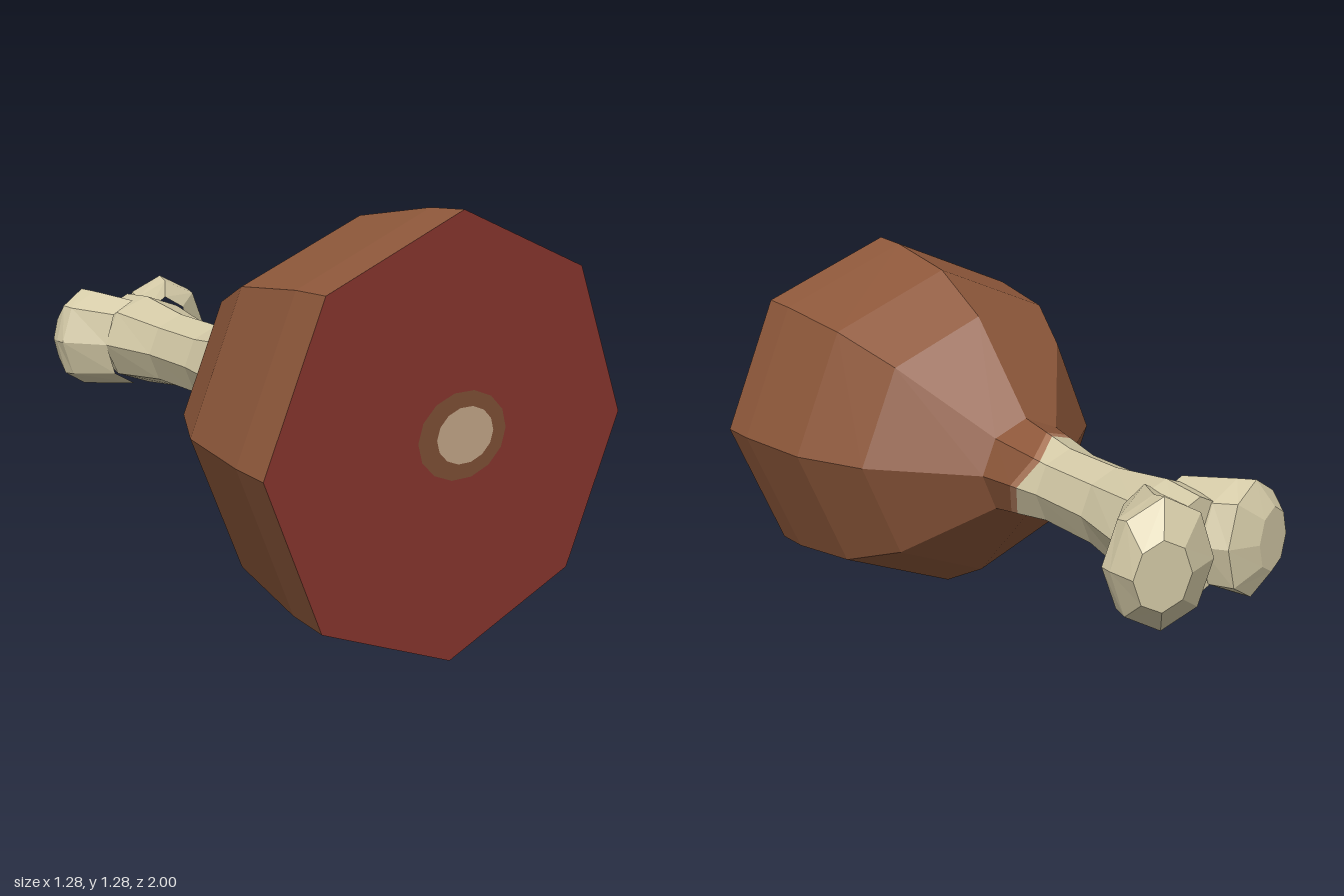
import * as THREE from 'three';

const CY = 0.645; // height of the long axis
const N = 8;      // sides of every cross-section

const material = (name, color) => {
  const m = new THREE.MeshStandardMaterial({ color });
  m.name = name;
  return m;
};

// Octagonal ring spanning two points in plan, [x, z] on each side, with half-height ry.
function span(x0, z0, x1, z1, ry) {
  return Array.from({ length: N }, (_, j) => {
    const a = (j / N) * Math.PI * 2, t = (1 + Math.cos(a)) / 2;
    return new THREE.Vector3(x0 + (x1 - x0) * t, CY + ry * Math.sin(a), z0 + (z1 - z0) * t);
  });
}
const ring = (z, rx, ry = rx) => span(-rx, z, rx, z, ry);

// Flat-faceted skin over rings ordered from front to back.
function loft(rings, capEnd = false) {
  const pos = [];
  const tri = (...pts) => pts.forEach((p) => pos.push(p.x, p.y, p.z));
  for (let i = 0; i < rings.length - 1; i++) {
    for (let j = 0; j < N; j++) {
      const k = (j + 1) % N, A = rings[i], B = rings[i + 1];
      tri(A[j], B[j], A[k]);
      tri(A[k], B[j], B[k]);
    }
  }
  if (capEnd) {
    const last = rings[rings.length - 1];
    const c = last.reduce((s, p) => s.add(p), new THREE.Vector3()).divideScalar(N);
    for (let j = 0; j < N; j++) tri(c, last[(j + 1) % N], last[j]);
  }
  const g = new THREE.BufferGeometry();
  g.setAttribute('position', new THREE.Float32BufferAttribute(pos, 3));
  g.computeVertexNormals();
  return g;
}

export function createModel() {
  const group = new THREE.Group();
  const roast = material('roastedBrown', 0x8d573a);
  const edge = material('seared edge', 0xa9775a);
  const bone = material('bone', 0xd3c9a6);
  const raw = material('raw red', 0x88352e);
  const rim = material('marrow rim', 0x805036);
  const marrow = material('marrow', 0xc6a88a);

  const add = (name, geometry, mat) => {
    const mesh = new THREE.Mesh(geometry, mat);
    mesh.name = name;
    group.add(mesh);
    return mesh;
  };

  // Uneven meat line around the neck, lying on the neck facets
  const neckFront = ring(0.02, 0.17), neckBack = ring(-0.23, 0.13);
  const line = [-0.11, -0.17, -0.10, -0.05, -0.03, -0.04, -0.04, -0.06];
  const neckRing = (offset) => line.map((z, j) =>
    neckFront[j].clone().lerp(neckBack[j], (0.02 - z - offset) / 0.25));
  const meatEnd = neckRing(0), boneStart = neckRing(-0.03);

  // Meat
  add('meat', loft([
    ring(0.996, 0.642), ring(0.86, 0.635), ring(0.55, 0.583),
    ring(0.31, 0.46), neckFront, meatEnd,
  ]), roast);
  add('meatEdge', loft([meatEnd, boneStart]), edge);

  // Cut face with marrow, as stacked thin plates
  add('cutFace', new THREE.CircleGeometry(0.642, N), raw).position.set(0, CY, 0.996);
  const plate = (name, x, y, rx, ry, z, mat) => {
    const m = add(name, new THREE.CircleGeometry(1, 14), mat);
    m.scale.set(rx, ry, 1);
    m.position.set(x, y, z);
  };
  plate('marrowRim', 0.02, 0.665, 0.16, 0.127, 0.998, rim);
  plate('marrowCentre', 0.028, 0.665, 0.103, 0.082, 1.0, marrow);

  // Bone shaft
  add('boneShaft', loft([
    boneStart, neckBack, ring(-0.47, 0.13, 0.132),
    ring(-0.71, 0.18, 0.162), ring(-0.86, 0.13, 0.15),
  ], true), bone);

  // Two uneven knuckles at the bone end
  add('leftKnuckle', loft([
    span(-0.04, -0.69, 0.178, -0.70, 0.155),
    span(0, -0.87, 0.32, -0.83, 0.185),
    span(0.02, -0.95, 0.322, -0.87, 0.198),
    span(0.14, -1.0, 0.312, -0.96, 0.105),
  ], true), bone);
  add('rightKnuckle', loft([
    span(-0.178, -0.70, 0.04, -0.69, 0.155),
    span(-0.29, -0.83, 0, -0.87, 0.175),
    span(-0.293, -0.87, -0.05, -0.93, 0.18),
    span(-0.285, -0.915, -0.15, -0.95, 0.1),
  ], true), bone);

  return group;
}
